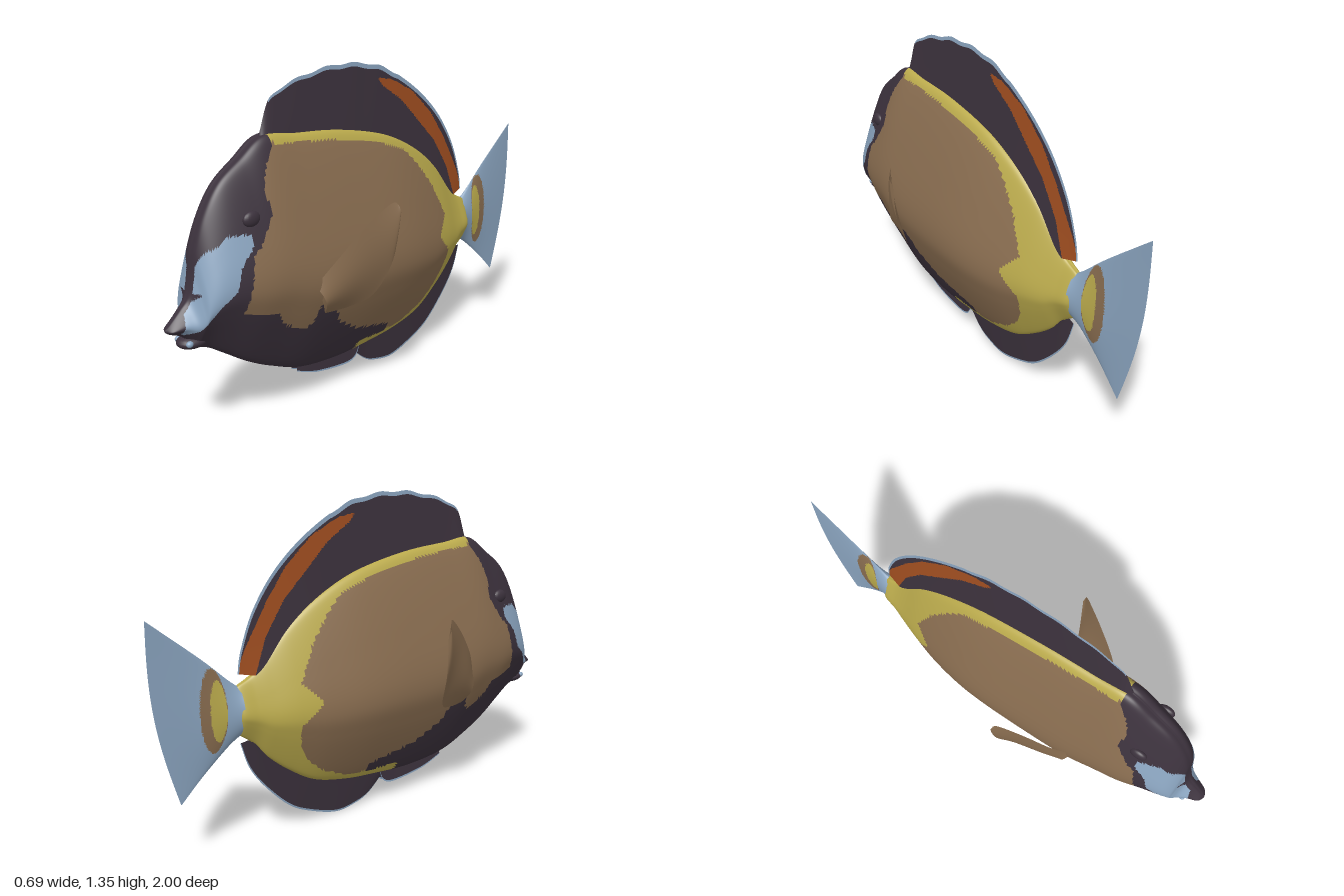
import * as THREE from 'three';

const mat = (name, color) => new THREE.MeshStandardMaterial({ name, color, side: THREE.DoubleSide });
const DARK = 0, BROWN = 1, YELLOW = 2, BLUE = 3, ORANGE = 4;

// Smooth interpolation through rows of numbers, t in 0..1
function spline(rows, t) {
  const n = rows.length - 1, f = Math.min(t * n, n - 1e-6), i = Math.floor(f), k = f - i;
  const [a, b, c, d] = [-1, 0, 1, 2].map(o => rows[Math.min(n, Math.max(0, i + o))]);
  return b.map((_, m) => b[m] + 0.5 * k * (c[m] - a[m] +
    k * (2 * a[m] - 5 * b[m] + 4 * c[m] - d[m] + k * (3 * (b[m] - c[m]) + d[m] - a[m]))));
}

// Point-in-polygon test on [z, y] corners
function inside(poly, z, y) {
  let hit = false;
  for (let i = 0, j = poly.length - 1; i < poly.length; j = i++) {
    const [zi, yi] = poly[i], [zj, yj] = poly[j];
    if ((yi > y) !== (yj > y) && z < (zj - zi) * (y - yi) / (yj - yi) + zi) hit = !hit;
  }
  return hit;
}
const ellipse = (z, y, cz, cy, rz, ry) => ((z - cz) / rz) ** 2 + ((y - cy) / ry) ** 2 < 1;

// One mirrored half of a surface: u runs nose to tail, v runs downwards; paint picks a material per face
function half(side, f, nu, nv, paint, smoothSeam) {
  const pos = [], buckets = [[], [], [], [], []];
  for (let i = 0; i <= nu; i++) for (let j = 0; j <= nv; j++) {
    const [x, y, z] = f(i / nu, j / nv);
    pos.push(x * side, y, z);
  }
  const face = (a, b, c, u, v) => {
    const mid = k => (pos[a * 3 + k] + pos[b * 3 + k] + pos[c * 3 + k]) / 3;
    buckets[paint(mid(2), mid(1), Math.abs(mid(0)), u, v)].push(a, ...(side > 0 ? [b, c] : [c, b]));
  };
  for (let i = 0; i < nu; i++) for (let j = 0; j < nv; j++) {
    const a = i * (nv + 1) + j, b = a + nv + 1, u = (i + 0.5) / nu, v = (j + 0.5) / nv;
    face(a, a + 1, b, u, v);
    face(a + 1, b + 1, b, u, v);
  }
  const g = new THREE.BufferGeometry();
  g.setAttribute('position', new THREE.Float32BufferAttribute(pos, 3));
  g.setIndex(buckets.flat());
  let start = 0;
  buckets.forEach((b, m) => { if (b.length) g.addGroup(start, b.length, m); start += b.length; });
  g.computeVertexNormals();
  if (smoothSeam) {
    const n = g.attributes.normal;
    for (let i = 0; i < n.count; i++) if (Math.abs(pos[i * 3]) < 1e-5) n.setX(i, 0);
    g.normalizeNormals();
  }
  return g;
}

// Body stations: z, top, bottom, half width
const STATIONS = [
  [1, .485, .475, .005], [.985, .5, .465, .03], [.94, .545, .445, .05], [.905, .585, .41, .07],
  [.885, .66, .39, .09], [.87, .76, .385, .105], [.83, .87, .37, .125], [.76, .975, .325, .145],
  [.66, 1.05, .26, .17], [.55, 1.12, .205, .185], [.4, 1.11, .15, .198], [.2, 1.095, .13, .2],
  [0, 1.06, .14, .198], [-.15, 1.015, .155, .185], [-.3, .94, .19, .155], [-.42, .85, .26, .12],
  [-.52, .74, .34, .085], [-.58, .685, .41, .065], [-.64, .655, .455, .05], [-.66, .64, .47, .02]];
// Half cross-section: width and height fractions
const SECTION = [[0, 1], [.26, .97], [.72, .7], [1, .45], [.84, .28], [.28, .025], [0, 0]];

const FLANK = [
  [.525, 1.105], [.58, 1.02], [.61, .94], [.595, .86], [.665, .75], [.7, .72], [.745, .51], [.595, .47],
  [.57, .42], [.47, .365], [.435, .385], [.41, .47], [.31, .395], [.29, .355], [.165, .27], [.03, .24],
  [-.06, .215], [-.06, .18], [-.155, .18], [-.29, .24], [-.37, .305], [-.41, .375], [-.425, .47],
  [-.33, .56], [-.41, .64], [-.345, .78], [-.26, .89], [-.18, .965], [-.02, 1.02], [.245, 1.07], [.515, 1.09]];
const CHEEK = [
  [.78, .8], [.69, .8], [.69, .76], [.755, .685], [.78, .605], [.835, .56], [.9, .47], [.955, .45],
  [.935, .535], [.88, .6], [.95, .61], [.95, .73], [.83, .76]];
const FIN_BAND = [
  [-.075, 1.27], [-.155, 1.26], [-.29, 1.195], [-.41, 1.09], [-.505, .96], [-.6, .8], [-.645, .7],
  [-.57, .68], [-.515, .83], [-.425, .965], [-.315, 1.07], [-.21, 1.17], [-.105, 1.235]];

// Fin rows: edge z, edge y, base z, base y
const DORSAL = [
  [.555, 1.1, .555, 1.08], [.49, 1.255, .5, 1.08], [.3, 1.325, .35, 1.07], [.1, 1.345, .15, 1.06],
  [-.1, 1.315, -.03, 1.02], [-.29, 1.22, -.2, .95], [-.45, 1.09, -.33, .88], [-.56, .94, -.43, .8],
  [-.62, .79, -.5, .73], [-.637, .7, -.54, .68]];
const ANAL = [
  [.11, .14, .11, .17], [.005, .043, .06, .18], [-.075, .01, -.04, .18], [-.18, 0, -.13, .19],
  [-.32, .045, -.24, .21], [-.42, .1, -.33, .25], [-.53, .21, -.42, .31], [-.6, .31, -.5, .37],
  [-.637, .42, -.56, .42]];
const PELVIC = [
  [.41, .125, .4, .17], [.3, .085, .28, .17], [.14, .065, .15, .17], [.075, .08, .1, .17], [.05, .13, .06, .17]];
// Tail and side fin edges
const TAIL_TOP = [[.65, -.635], [.685, -.68], [.79, -.795], [.96, -1]];
const TAIL_BOTTOM = [[.455, -.635], [.42, -.69], [.33, -.8], [.235, -.9]];
const PECTORAL_TOP = [[.18, .55, .445], [.235, .66, .37], [.28, .77, .275], [.322, .85, .18], [.335, .845, .155]];
const PECTORAL_LOW = [[.17, .42, .39], [.205, .43, .29], [.25, .47, .2], [.315, .617, .16], [.335, .79, .145]];

export function createModel() {
  const fish = new THREE.Group();
  fish.name = 'fish';
  const mats = [mat('dark plum', 0x3c323d), mat('tan brown', 0x896d50), mat('yellow', 0xbaaa4c),
    mat('pale blue', 0x8ba5c0), mat('burnt orange', 0xa04e20)];
  const sides = (name, f, nu, nv, paint, seam) => [1, -1].forEach(s => {
    const m = new THREE.Mesh(half(s, f, nu, nv, paint, seam), mats);
    m.name = (s > 0 ? 'left' : 'right') + name;
    fish.add(m);
  });

  // Body with painted flank, cheek and yellow border
  sides('Body', (u, v) => {
    const [z, top, bottom, w] = spline(STATIONS, u), [sx, sy] = spline(SECTION, v);
    return [v === 0 || v === 1 ? 0 : Math.max(0, sx) * w, bottom + sy * (top - bottom), z];
  }, 210, 80, (z, y, x) => {
    if (inside(FLANK, z, y)) return BROWN;
    if (inside(CHEEK, z, y) && x > .025 + Math.max(0, y - .7) * .6) return BLUE;
    return (z < .53 && y > .9) || z < -.06 || (z < .11 && y < .175) ? YELLOW : DARK;
  }, true);

  // Dorsal fin with pale rim and orange band
  sides('DorsalFin', (u, v) => {
    const [z, y, zb, yb] = spline(DORSAL, u);
    const ripple = u < .5 ? .004 * Math.sin(u * 75) * (1 - v) : 0;
    return [.025 * v, y + (yb - y) * v + ripple, z + (zb - z) * v];
  }, 160, 50, (z, y, x, u, v) => v < .07 && u > .1 ? BLUE : inside(FIN_BAND, z, y) ? ORANGE : DARK);

  // Anal fin
  sides('AnalFin', (u, v) => {
    const [z, y, zb, yb] = spline(ANAL, u);
    return [.02 * (1 - v), yb + (y - yb) * v, zb + (z - zb) * v];
  }, 60, 24, (z, y, x, u, v) => v > .94 ? BLUE : DARK);

  // Pelvic fins
  sides('PelvicFin', (u, v) => {
    const [z, y, zb, yb] = spline(PELVIC, u);
    return [.012 + .006 * v, yb + (y - yb) * v, zb + (z - zb) * v];
  }, 24, 14, (z, y, x, u, v) => v > .9 ? BLUE : DARK);

  // Tail fin with ringed spot
  sides('TailFin', (u, v) => {
    const [yt, zt] = spline(TAIL_TOP, u), [yb, zb] = spline(TAIL_BOTTOM, u);
    const bulge = Math.max(0, Math.sin(Math.PI * v));
    return [.048 * (1 - u) ** 1.2 * bulge ** .6, yt + (yb - yt) * v, zt + (zb - zt) * v - .037 * u * bulge];
  }, 60, 70, (z, y) => ellipse(z, y, -.735, .575, .033, .122) ? YELLOW
    : ellipse(z, y, -.755, .578, .055, .167) ? BROWN : BLUE);

  // Pectoral fins, an outer and an inner skin
  for (const [name, bulge] of [['PectoralFinOuter', .035], ['PectoralFinInner', .012]]) {
    sides(name, (u, v) => {
      const a = spline(PECTORAL_TOP, u), b = spline(PECTORAL_LOW, u);
      const p = a.map((c, k) => c + (b[k] - c) * v);
      p[0] += bulge * Math.sin(Math.PI * v) * (1 - u * .7);
      return p;
    }, 24, 12, () => BROWN);
  }

  // Lower jaw, chin spots and eyes
  const ball = (name, m, x, y, z, sx, sy, sz) => {
    const b = new THREE.Mesh(new THREE.SphereGeometry(1, 20, 14), mats[m]);
    b.name = name;
    b.position.set(x, y, z);
    b.scale.set(sx, sy, sz);
    fish.add(b);
  };
  ball('lowerJaw', DARK, 0, .413, .89, .05, .027, .063);
  for (const s of [1, -1]) {
    ball('chinSpot', BLUE, s * .036, .418, .925, .012, .012, .014);
    ball('eye', DARK, s * .105, .85, .68, .018, .03, .038);
  }
  return fish;
}
